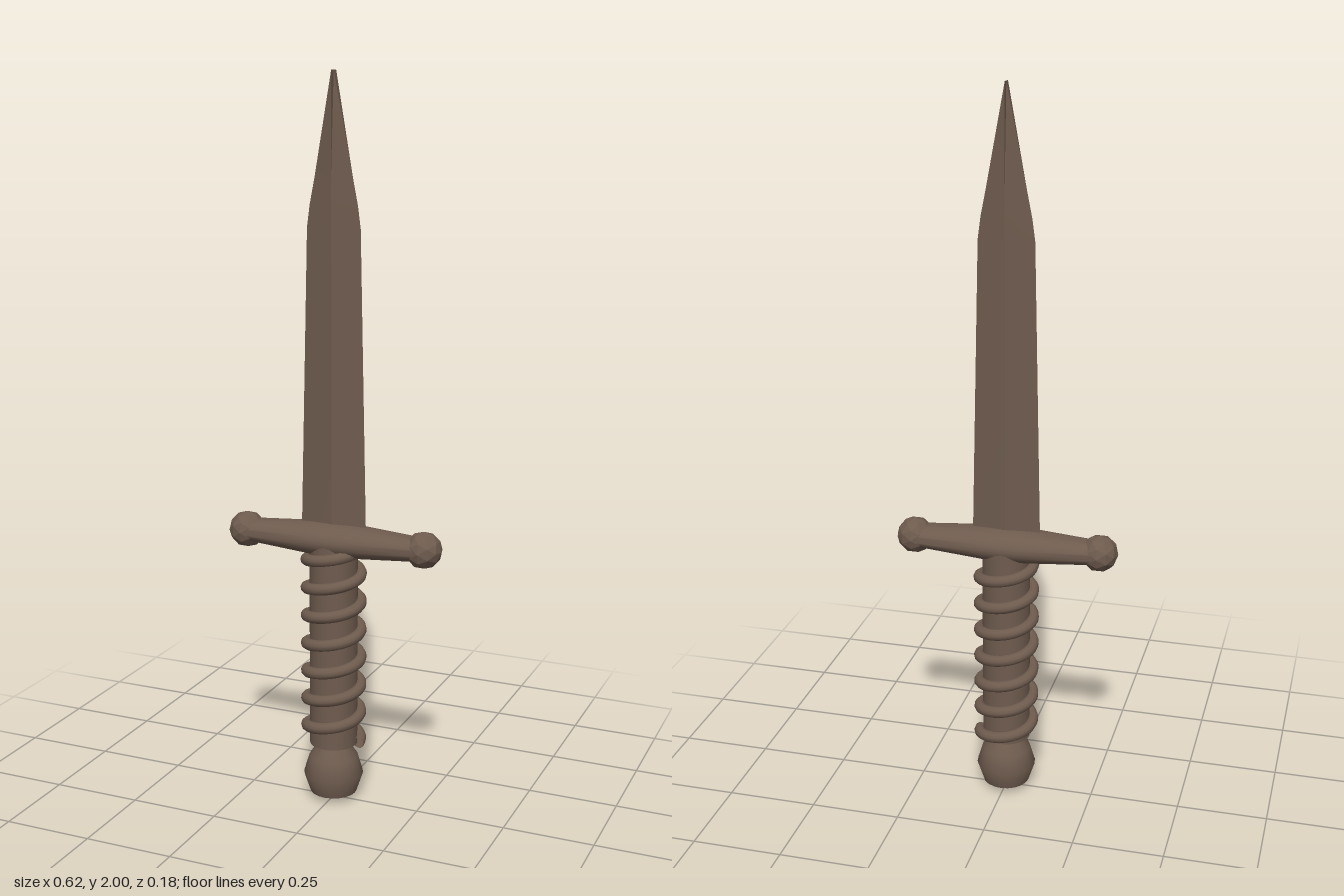
import * as THREE from 'three';
import { toCreasedNormals } from 'three/addons/utils/BufferGeometryUtils.js';

const GUARD_Y = 0.76;

// Diamond cross-sections stacked upwards: [y, half width, half thickness]
function bladeGeometry() {
  const rows = [
    [0.76, 0.095, 0.015], [1.6, 0.076, 0.016], [1.66, 0.068, 0.017],
    [1.73, 0.054, 0.017], [2.0, 0, 0.016],
  ];
  const positions = [];
  const index = [];
  for (const [y, w, t] of rows) {
    positions.push(0, y, t, w, y, 0, 0, y, -t, -w, y, 0);
  }
  for (let r = 0; r < rows.length - 1; r++) {
    for (let i = 0; i < 4; i++) {
      const a = r * 4 + i;
      const b = r * 4 + ((i + 1) % 4);
      index.push(a, b, b + 4, a, b + 4, a + 4);
    }
  }
  const g = new THREE.BufferGeometry();
  g.setAttribute('position', new THREE.Float32BufferAttribute(positions, 3));
  g.setIndex(index);
  return toCreasedNormals(g, 0.15);
}

// Rising spiral that starts on the +x side of the grip
class Spiral extends THREE.Curve {
  getPoint(u, target = new THREE.Vector3()) {
    const a = Math.PI / 2 + u * 7 * Math.PI * 2;
    return target.set(0.075 * Math.sin(a), 0.177 + 0.562 * u, 0.075 * Math.cos(a));
  }
}

export function createModel() {
  const group = new THREE.Group();
  const bronze = new THREE.MeshStandardMaterial({ color: 0x6e5b4e });
  bronze.name = 'dark bronze';
  const bronzeOpen = new THREE.MeshStandardMaterial({ color: 0x6e5b4e, side: THREE.DoubleSide });
  bronzeOpen.name = 'dark bronze open';
  const bronzeFaceted = new THREE.MeshStandardMaterial({ color: 0x6e5b4e, flatShading: true });
  bronzeFaceted.name = 'dark bronze faceted';

  const add = (name, geometry, material = bronze) => {
    const mesh = new THREE.Mesh(geometry, material);
    mesh.name = name;
    group.add(mesh);
    return mesh;
  };

  add('blade', bladeGeometry(), bronzeOpen);

  // Grip and its wire wrapping
  add('grip', new THREE.CylinderGeometry(0.066, 0.066, 0.59, 32)).position.y = 0.465;
  add('gripWire', new THREE.TubeGeometry(new Spiral(), 260, 0.016, 10, false), bronzeOpen);

  // Pommel: rounded knob with a bevelled underside
  const knob = [
    [0, 0.005], [0.065, 0.026], [0.083, 0.08], [0.068, 0.13], [0.037, 0.175], [0, 0.178],
  ].map(([x, y]) => new THREE.Vector2(x, y));
  add('pommel', toCreasedNormals(new THREE.LatheGeometry(knob, 20), 0.7));

  // Guard: flattened bar swelling towards the middle
  const bar = [
    [0, -0.26], [0.044, -0.26], [0.065, -0.05], [0.067, 0],
    [0.065, 0.05], [0.044, 0.26], [0, 0.26],
  ].map(([x, y]) => new THREE.Vector2(x, y));
  const guardGeometry = toCreasedNormals(new THREE.LatheGeometry(bar, 32), 0.6);
  guardGeometry.rotateZ(Math.PI / 2).scale(1, 0.7, 1);
  add('guard', guardGeometry).position.y = GUARD_Y;

  // Faceted balls at both ends of the guard
  for (const [side, name] of [[1, 'leftGuardBall'], [-1, 'rightGuardBall']]) {
    add(name, new THREE.IcosahedronGeometry(0.051, 1), bronzeFaceted)
      .position.set(side * 0.26, GUARD_Y, 0);
  }
  return group;
}
